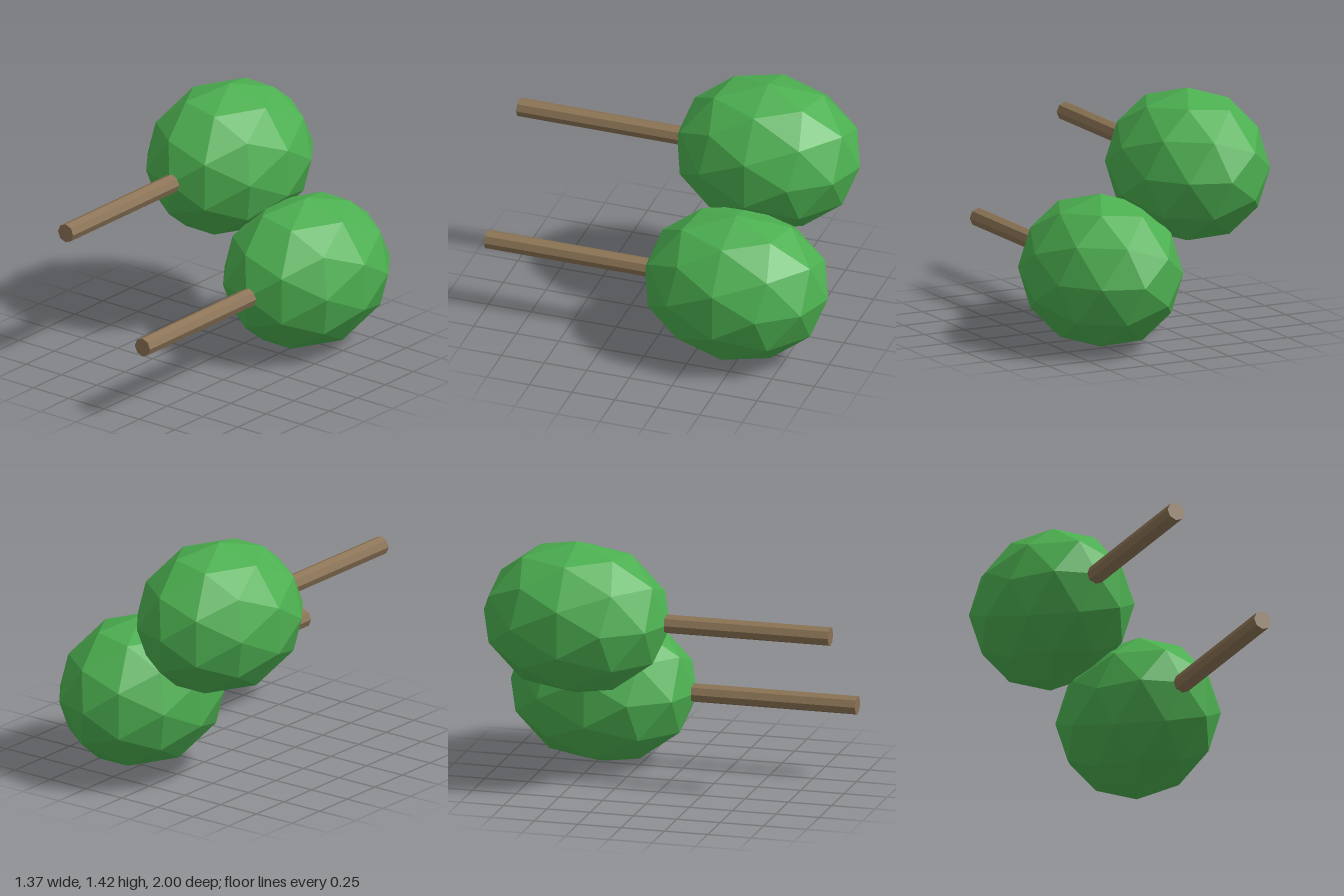
import * as THREE from 'three';

const leafGreen = new THREE.MeshStandardMaterial({ color: 0x4caf50 });
const barkBrown = new THREE.MeshStandardMaterial({ color: 0x8b7355 });

const CROWN_Z = -0.463;

// Give every face its own normal for a low-poly look
function faceted(geometry) {
  const flat = geometry.index ? geometry.toNonIndexed() : geometry;
  flat.computeVertexNormals();
  return flat;
}

// Faceted ball with a corner pointing along z, stretched along the trunk
function crownGeometry() {
  const golden = (1 + Math.sqrt(5)) / 2;
  const g = new THREE.IcosahedronGeometry(1, 1);
  g.rotateX(Math.atan(1 / golden));
  g.rotateZ(-Math.PI / 2);
  g.scale(0.435, 0.435, 0.537);
  return faceted(g);
}

// Eight-sided trunk running from inside the crown to z = 1
function trunkGeometry() {
  const back = -0.1, front = 1;
  const g = new THREE.CylinderGeometry(0.0535, 0.0535, front - back, 8);
  g.rotateX(Math.PI / 2);
  g.translate(0, 0, (front + back) / 2);
  return faceted(g);
}

export function createModel() {
  const model = new THREE.Group();
  model.name = 'trees';
  const crownGeo = crownGeometry();
  const trunkGeo = trunkGeometry();

  // Two identical trees lying along z
  for (const [name, x, y] of [['rightTree', -0.272, 0.983], ['leftTree', 0.272, 0.437]]) {
    const tree = new THREE.Group();
    tree.name = name;
    tree.position.set(x, y, 0);

    const crown = new THREE.Mesh(crownGeo, leafGreen);
    crown.name = 'crown';
    crown.position.z = CROWN_Z;

    const trunk = new THREE.Mesh(trunkGeo, barkBrown);
    trunk.name = 'trunk';

    tree.add(crown, trunk);
    model.add(tree);
  }
  return model;
}
